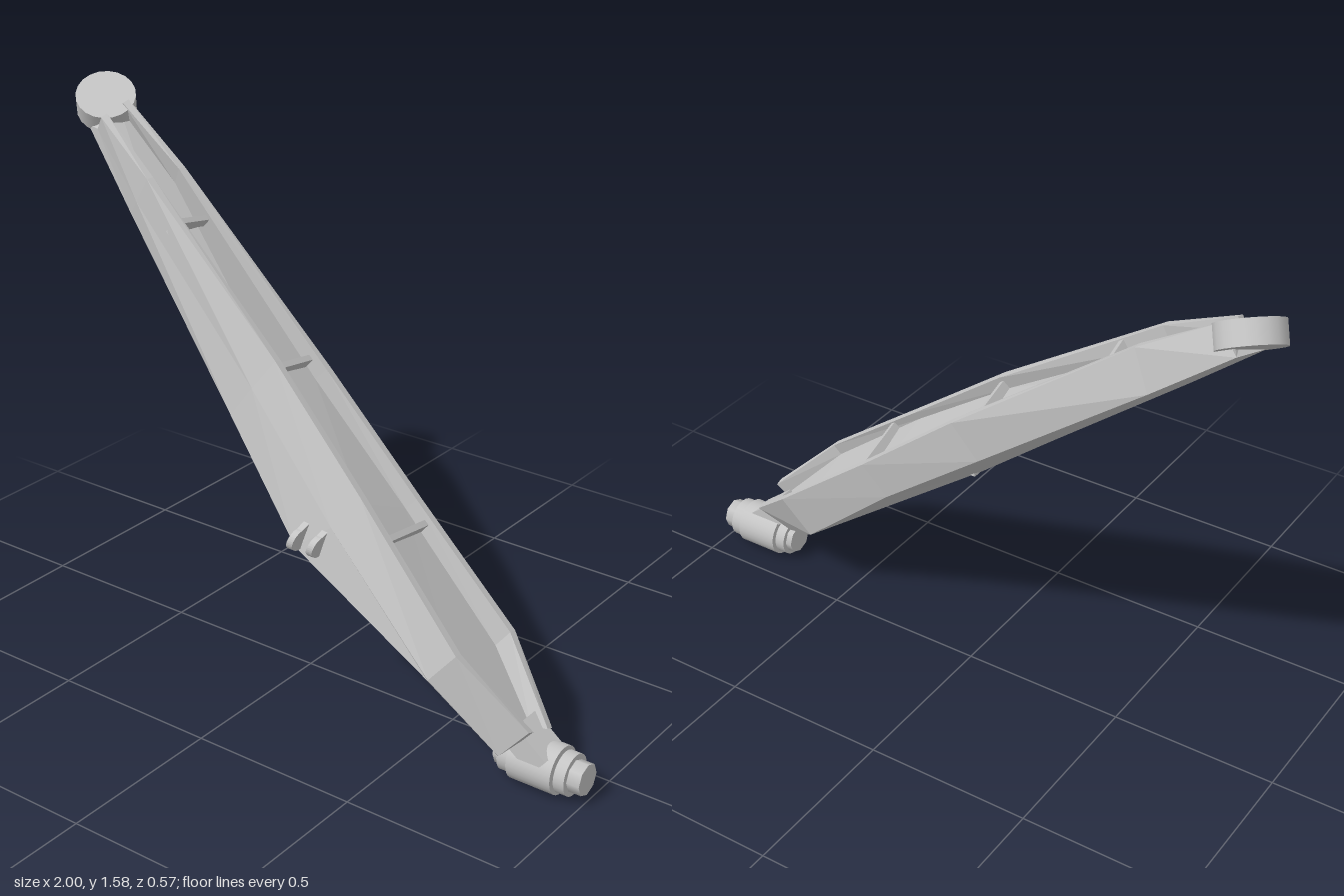
import * as THREE from 'three';

const steel = new THREE.MeshStandardMaterial({ color: 0xc4c4c4 });
steel.name = 'grey steel';
const V = (p) => new THREE.Vector3(...p);

// Stations along the beam: front rim, front crease, belly edge, rear lower edge, rear rim,
// then the floor depth at front and rear as a share of the wall height
const stations = [
  [[-0.84, 1.485, -0.10], [-0.875, 1.44, -0.12], [-0.93, 1.44, -0.14], [-0.91, 1.472, -0.268], [-0.835, 1.515, -0.215], 0.6, 0.6],
  [[-0.607, 1.36, -0.03], [-0.66, 1.28, -0.04], [-0.70, 1.23, -0.06], [-0.66, 1.262, -0.222], [-0.60, 1.36, -0.187], 0.55, 0.55],
  [[-0.06, 0.975, 0.082], [-0.125, 0.885, 0.105], [-0.20, 0.785, 0.107], [-0.10, 0.805, -0.12], [-0.01, 0.895, -0.115], 0.35, 0.45],
  [[0.29, 0.695, 0.163], [0.22, 0.60, 0.20], [0.105, 0.51, 0.21], [0.25, 0.523, -0.065], [0.33, 0.61, -0.073], 0.2, 0.42],
  [[0.67, 0.39, 0.262], [0.596, 0.30, 0.278], [0.594, 0.296, 0.276], [0.583, 0.224, -0.01], [0.67, 0.335, -0.03], 0.3, 0.45],
  [[0.865, 0.205, 0.205], [0.794, 0.122, 0.235], [0.79, 0.118, 0.23], [0.745, 0.12, 0.09], [0.865, 0.16, 0.085], 0.4, 0.4],
];

// Closed trough section: both rims with thickness, an inner floor and the outer skin
function section(station) {
  const [fr, fc, fb, rl, rr] = station.slice(0, 5).map(V);
  const across = rr.clone().sub(fr).normalize().multiplyScalar(0.025);
  const fri = fr.clone().add(across);
  const rri = rr.clone().sub(across);
  const ff = fri.clone().add(fc.clone().sub(fr).multiplyScalar(station[5]));
  const rf = rri.clone().add(rl.clone().sub(rr).multiplyScalar(station[6]));
  return [fr, fri, ff, rf, rri, rr, rl, fb, fc];
}

function beamGeometry() {
  const rings = stations.map(section);
  const n = rings[0].length;
  const pos = [];
  const tri = (...pts) => pts.forEach((p) => pos.push(p.x, p.y, p.z));
  for (let j = 0; j < rings.length - 1; j++) {
    for (let i = 0; i < n; i++) {
      const k = (i + 1) % n;
      const a = rings[j][i], b = rings[j][k], c = rings[j + 1][i], d = rings[j + 1][k];
      tri(a, c, b);
      tri(b, c, d);
    }
  }
  // End caps
  const first = rings[0], last = rings[rings.length - 1];
  for (const poly of [[0, 1, 2, 8], [2, 3, 6, 7, 8], [3, 4, 5, 6]]) {
    for (let i = 1; i < poly.length - 1; i++) {
      const [a, b, c] = [poly[0], poly[i], poly[i + 1]];
      tri(first[a], first[b], first[c]);
      tri(last[a], last[c], last[b]);
    }
  }
  const g = new THREE.BufferGeometry();
  g.setAttribute('position', new THREE.Float32BufferAttribute(pos, 3));
  g.computeVertexNormals();
  return g;
}

// Thin rounded lug, leaning sideways as it rises
function lugGeometry() {
  const s = new THREE.Shape();
  s.moveTo(0, 0);
  s.lineTo(0.045, 0);
  s.absarc(0.04, 0.032, 0.032, -Math.PI / 2, Math.PI / 2, false);
  s.lineTo(0, 0.085);
  const g = new THREE.ExtrudeGeometry(s, { depth: 0.02, bevelEnabled: false, curveSegments: 8 });
  g.rotateY(-Math.PI / 2);
  const p = g.attributes.position;
  for (let i = 0; i < p.count; i++) p.setX(i, p.getX(i) + 0.35 * Math.max(0, p.getY(i) - 0.02));
  g.computeVertexNormals();
  return g;
}

export function createModel() {
  const model = new THREE.Group();
  model.name = 'supportArm';
  const add = (name, geometry, parent = model) => {
    const m = new THREE.Mesh(geometry, steel);
    m.name = name;
    parent.add(m);
    return m;
  };

  add('troughBeam', beamGeometry());

  // Cross ribs between the rims
  const along = V([0.776, -0.616, 0.137]).normalize();
  const ribs = [
    [[-0.475, 1.265, -0.012], [-0.49, 1.236, -0.155]],
    [[-0.06, 0.955, 0.075], [-0.075, 0.922, -0.10]],
    [[0.388, 0.605, 0.17], [0.366, 0.56, -0.05]],
  ];
  for (const [front, rear] of ribs) {
    const f = V(front), r = V(rear);
    const w = f.clone().sub(r);
    const length = w.length();
    w.normalize();
    const up = w.clone().cross(along).normalize();
    const u = up.clone().cross(w);
    const rib = add('crossRib', new THREE.BoxGeometry(0.018, 0.055, length));
    rib.quaternion.setFromRotationMatrix(new THREE.Matrix4().makeBasis(u, up, w));
    rib.position.copy(f).add(r).multiplyScalar(0.5).addScaledVector(up, -0.026);
  }

  // Round pad at the upper end
  const padAxis = V([0.37, 0.81, 0.44]).normalize();
  const pad = add('endPad', new THREE.CylinderGeometry(0.089, 0.089, 0.065, 20));
  pad.quaternion.setFromUnitVectors(V([0, 1, 0]), padAxis);
  pad.position.set(-0.897, 1.526, -0.184).addScaledVector(padAxis, -0.0325);

  // Pivot at the lower end: barrel, collars and end nuts along x
  const pivot = new THREE.Group();
  pivot.name = 'pivot';
  pivot.position.set(0, 0.071, 0.122);
  model.add(pivot);
  const rings = [
    ['barrel', 0.79, 0.925, 0.069, 28],
    ['pin', 0.74, 0.97, 0.042, 20],
    ['innerCollar', 0.755, 0.787, 0.058, 24],
    ['innerNut', 0.735, 0.755, 0.046, 8],
    ['outerCollar', 0.93, 0.962, 0.06, 24],
    ['outerNut', 0.962, 1.0, 0.046, 8],
  ];
  for (const [name, x0, x1, radius, sides] of rings) {
    const g = new THREE.CylinderGeometry(radius, radius, x1 - x0, sides).rotateZ(Math.PI / 2);
    add(name, g, pivot).position.x = (x0 + x1) / 2;
  }
  const neck = add('pivotNeck', new THREE.BoxGeometry(0.12, 0.07, 0.10));
  neck.position.set(0.838, 0.13, 0.135);
  neck.rotation.z = -0.67;

  // Pair of small lugs on the belly
  for (const x of [0.125, 0.192]) {
    add('bellyLug', lugGeometry()).position.set(x, 0.51, 0.18);
  }
  return model;
}
